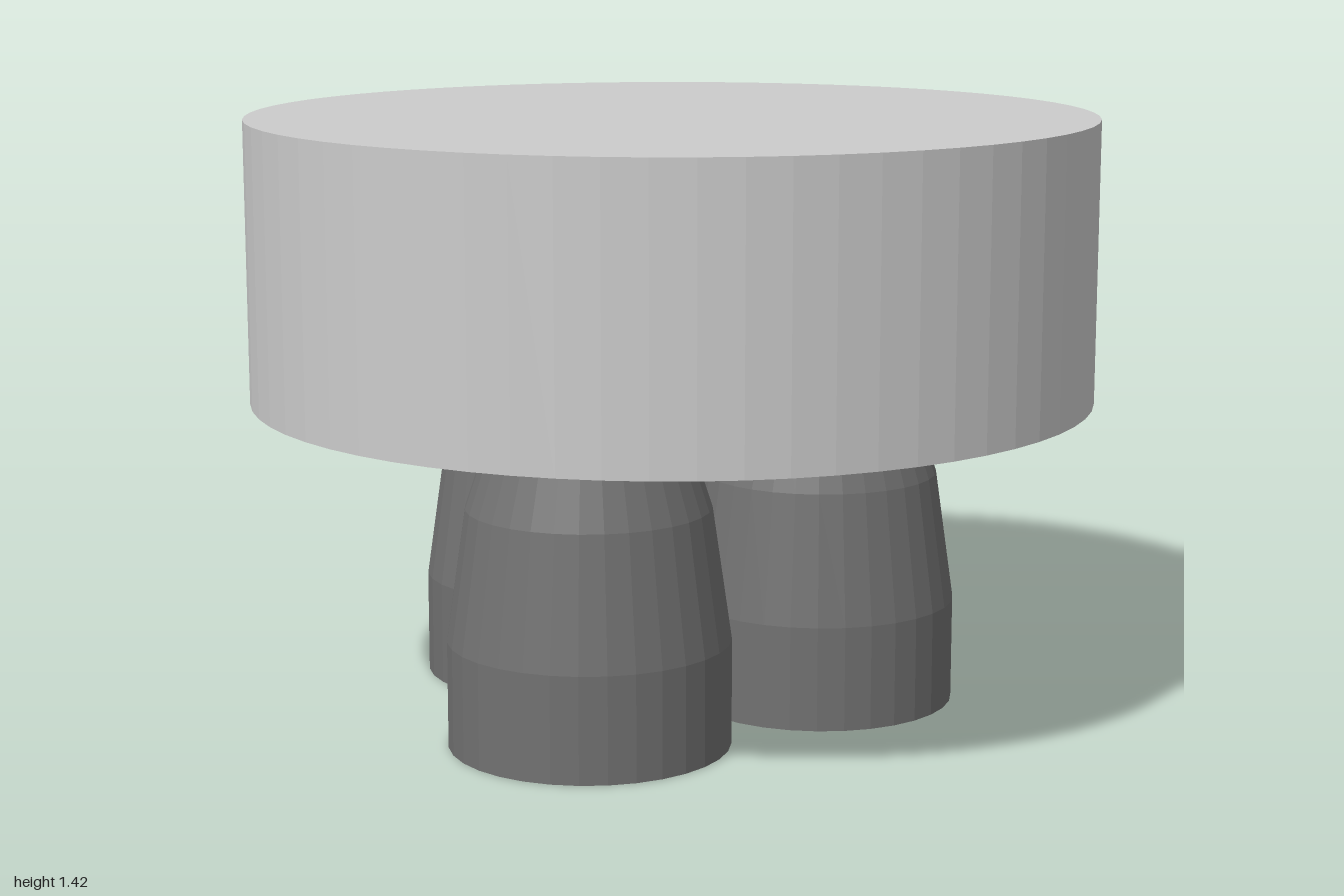
import * as THREE from 'three';

const light = new THREE.MeshStandardMaterial({ color: 0xcccccc, flatShading: true });
const dark = new THREE.MeshStandardMaterial({ color: 0x717171, flatShading: true, side: THREE.DoubleSide });

// Surface of revolution from [radius, height] pairs, listed bottom to top on the outside
function lathe(name, profile, segments, material) {
  const points = profile.map(([r, y]) => new THREE.Vector2(r, y));
  const mesh = new THREE.Mesh(new THREE.LatheGeometry(points, segments), material);
  mesh.name = name;
  return mesh;
}

export function createModel() {
  const model = new THREE.Group();
  model.name = 'engineCluster';

  // Thick round body, open underneath
  const bottom = 0.76, top = 1.425, recess = 0.93;
  model.add(lathe('body', [[0.8, bottom], [1, bottom], [1, top], [0, top]], 64, light));

  // Tapered recess in the underside, with a flat ceiling
  model.add(lathe('recess', [[0, recess], [0.6, recess], [0.8, bottom]], 64, dark));

  // Bell nozzle: inner wall down to the lip, outer wall up to the throat, flared mount
  const bell = [
    [0, 0.82], [0.1, 0.82], [0.195, 0.75], [0.262, 0.56], [0.306, 0.25], [0.306, 0],
    [0.329, 0], [0.329, 0.25], [0.284, 0.56], [0.217, 0.76], [0.13, 0.84], [0.2, recess],
  ];

  // Three nozzles in a triangle
  const places = [[0.36, 0], [-0.24, 0.315], [-0.24, -0.345]];
  places.forEach(([x, z], i) => {
    const nozzle = lathe(`nozzle${i + 1}`, bell, 32, dark);
    nozzle.position.set(x, 0, z);
    model.add(nozzle);
  });

  return model;
}
